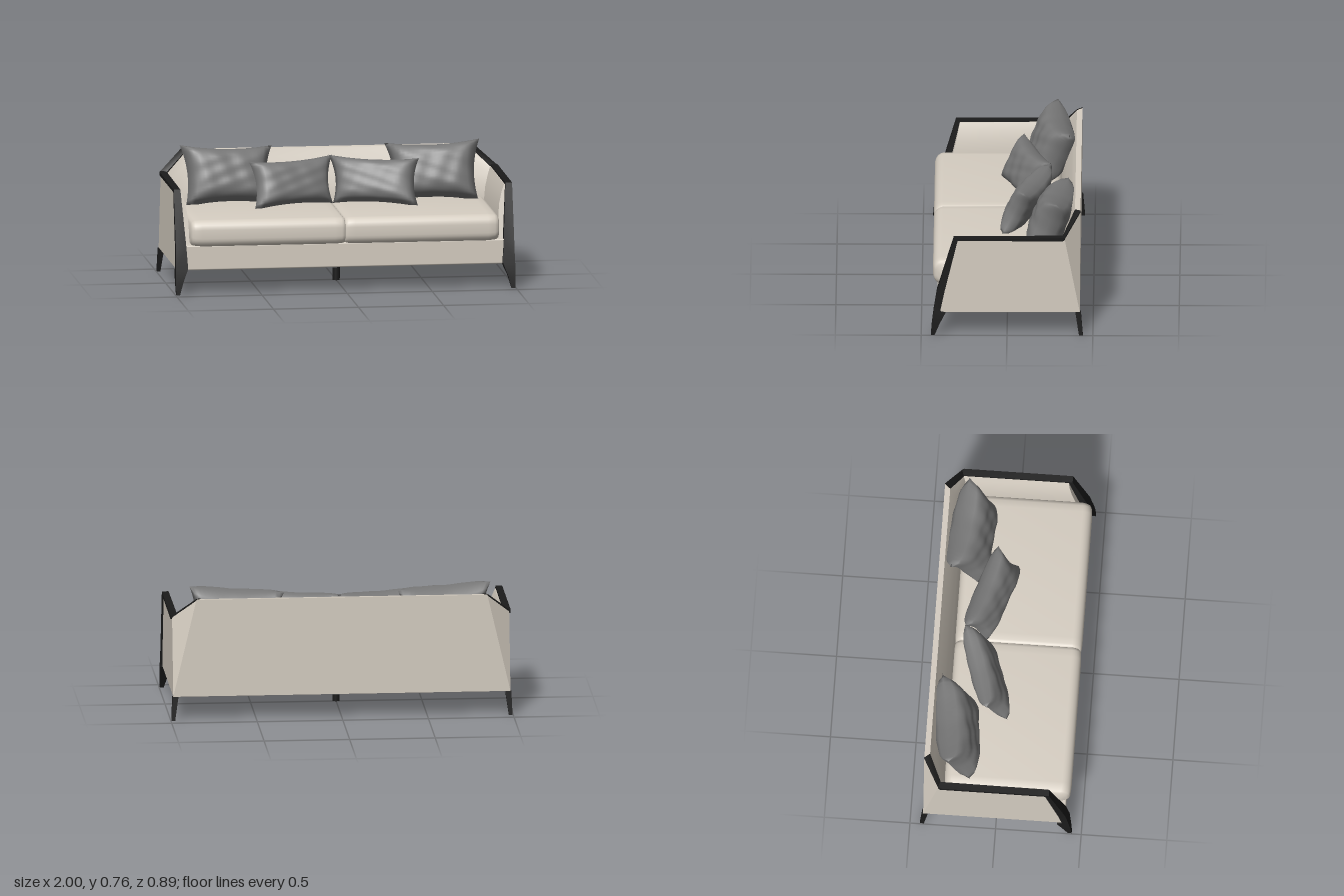
import * as THREE from 'three';
import { toCreasedNormals, mergeVertices } from 'three/addons/utils/BufferGeometryUtils.js';
import { RoundedBoxGeometry } from 'three/addons/geometries/RoundedBoxGeometry.js';

const material = (name, color, side = THREE.FrontSide) => {
  const m = new THREE.MeshStandardMaterial({ color, side });
  m.name = name;
  return m;
};

// Skins closed rings of points into a capped solid
function loft(rings, crease = 0.6) {
  const n = rings[0].length, last = (rings.length - 1) * n, index = [];
  for (let i = 0; i < rings.length - 1; i++) {
    for (let j = 0; j < n; j++) {
      const a = i * n + j, b = i * n + (j + 1) % n;
      index.push(a, a + n, b + n, a, b + n, b);
    }
  }
  for (let j = 1; j < n - 1; j++) {
    index.push(0, j, j + 1, last, last + j + 1, last + j);
  }
  const g = new THREE.BufferGeometry();
  g.setAttribute('position', new THREE.Float32BufferAttribute(rings.flat(2), 3));
  g.setIndex(index);
  return toCreasedNormals(g, crease);
}

// Ring of a frame bar: outer and inner edge (z, y), between x0 and x1
const bar = ([x0, x1, zo, yo, zi, yi]) =>
  [[x1, yo, zo], [x0, yo, zo], [x0, yi, zi], [x1, yi, zi]];

// Cushion slice at x: a rounded front and back profile, drawn in by an inset
function cushionRing([x, inset]) {
  const ring = [], r = 0.055 - inset * 0.5;
  const [z0, z1, y0, y1] = [-0.31 + inset, 0.432 - inset, 0.272 + inset, 0.432 - inset];
  const corners = [[z1 - r, y0 + r, -90], [z1 - r, y1 - r, 0], [z0 + r, y1 - r, 90], [z0 + r, y0 + r, 180]];
  for (const [z, y, start] of corners) {
    for (let k = 0; k <= 6; k++) {
      const t = THREE.MathUtils.degToRad(start + k * 15);
      ring.push([x, y + r * Math.sin(t), z + r * Math.cos(t)]);
    }
  }
  return ring;
}

// Pillow spanned between four corners, with drawn-in edges and a puffed middle
function pillowGeometry(tl, tr, bl, br, puff) {
  const [TL, TR, BL, BR] = [tl, tr, bl, br].map(p => new THREE.Vector3(...p));
  const normal = TR.clone().sub(BL).cross(TL.clone().sub(BR)).normalize();
  const N = 22, pos = [], index = [];
  for (const s of [1, -1]) {
    const start = pos.length / 3;
    for (let i = 0; i <= N; i++) {
      for (let j = 0; j <= N; j++) {
        const a = j / N * 2 - 1, b = i / N * 2 - 1;
        const u = a * (1 - 0.11 * (1 - b * b)), v = b * (1 - 0.13 * (1 - a * a));
        const low = BL.clone().lerp(BR, (u + 1) / 2);
        const p = low.lerp(TL.clone().lerp(TR, (u + 1) / 2), (v + 1) / 2);
        const body = Math.pow((1 - a ** 4) * (1 - b ** 4), 0.5);
        const fold = 1 + 0.05 * Math.sin(9 * a + 4 * b) * Math.cos(7 * b - 3 * a);
        p.addScaledVector(normal, s * puff * body * fold);
        pos.push(p.x, Math.max(p.y, 0.43), p.z);
      }
    }
    for (let i = 0; i < N; i++) {
      for (let j = 0; j < N; j++) {
        const k = start + i * (N + 1) + j, l = k + N + 1;
        if (s > 0) index.push(k, k + 1, l + 1, k, l + 1, l);
        else index.push(k, l + 1, k + 1, k, l, l + 1);
      }
    }
  }
  let g = new THREE.BufferGeometry();
  g.setAttribute('position', new THREE.Float32BufferAttribute(pos, 3));
  g.setIndex(index);
  g = mergeVertices(g, 1e-5);
  g.computeVertexNormals();
  return g;
}

export function createModel() {
  const fabric = material('beige fabric', 0xd6cec2, THREE.DoubleSide);
  const black = material('black wood', 0x1b1b1b, THREE.DoubleSide);
  const grey = material('grey pillow fabric', 0x777777, THREE.DoubleSide);
  const lining = material('dark lining', 0x6a6a6a);

  const model = new THREE.Group();
  model.name = 'sofa';
  const add = (parent, name, geometry, mat, x = 0, y = 0, z = 0) => {
    const mesh = new THREE.Mesh(geometry, mat);
    mesh.name = name;
    mesh.position.set(x, y, z);
    parent.add(mesh);
  };

  // Arms and back in one shell, with folded rear corners
  const half = [
    [[0.985, 0.14, 0.394], [0.985, 0.588, 0.288], [0.95, 0.588, 0.288], [0.935, 0.55, 0.295],
      [0.918, 0.48, 0.31], [0.91, 0.4, 0.33], [0.905, 0.2, 0.375]],
    [[0.985, 0.14, -0.424], [0.985, 0.597, -0.335], [0.95, 0.595, -0.325], [0.935, 0.55, -0.315],
      [0.918, 0.48, -0.305], [0.91, 0.4, -0.3], [0.905, 0.2, -0.3]],
    [[0.985, 0.14, -0.424], [0.85, 0.718, -0.427], [0.825, 0.715, -0.395], [0.815, 0.65, -0.37],
      [0.81, 0.55, -0.335], [0.805, 0.45, -0.31], [0.8, 0.2, -0.3]],
  ];
  const otherHalf = half.map(r => r.map(([x, y, z]) => [-x, y, z])).reverse();
  add(model, 'armsAndBack', loft([...half, ...otherHalf], 0.5), fabric);

  // Seat base and lining underneath
  add(model, 'seatBase', new RoundedBoxGeometry(1.88, 0.145, 0.81, 3, 0.008), fabric, 0, 0.212, 0);
  add(model, 'undersideLining', new THREE.BoxGeometry(1.965, 0.003, 0.815), lining, 0, 0.1385, -0.016);

  // Centre leg
  const centreLeg = new THREE.CylinderGeometry(0.024, 0.021, 0.14, 20);
  add(model, 'centreLeg', centreLeg, black, 0, 0.07, 0.012);

  // Front leg running up into the arm rail
  const frameGeometry = loft([
    [0.974, 0.996, 0.444, 0, 0.422, 0],
    [0.955, 0.998, 0.438, 0.07, 0.393, 0.07],
    [0.925, 0.997, 0.427, 0.15, 0.358, 0.139],
    [0.925, 0.996, 0.425, 0.16, 0.39, 0.145],
    [0.932, 0.994, 0.408, 0.27, 0.364, 0.27],
    [0.955, 0.994, 0.31, 0.602, 0.288, 0.585],
    [0.952, 0.994, -0.325, 0.604, -0.325, 0.584],
    [0.95, 0.988, -0.337, 0.606, -0.337, 0.59],
  ].map(bar));
  // Thin edging over the folded rear corner
  const edgingGeometry = loft([
    [[0.988, 0.604, -0.336], [0.95, 0.602, -0.324], [0.95, 0.592, -0.324], [0.988, 0.594, -0.336]],
    [[0.852, 0.723, -0.428], [0.824, 0.72, -0.395], [0.824, 0.711, -0.395], [0.852, 0.713, -0.428]],
  ]);
  const backLegGeometry = loft([
    [0.975, 0.996, -0.419, 0, -0.442, 0],
    [0.955, 0.99, -0.398, 0.14, -0.43, 0.14],
  ].map(bar));

  // Seat cushion with a soft seam at the middle and rounded outer end
  const cushionGeometry = loft([
    [0.0, 0.012], [0.006, 0.006], [0.02, 0.002], [0.06, 0], [0.84, 0],
    [0.88, 0.004], [0.896, 0.011], [0.905, 0.024],
  ].map(cushionRing), 0.9);
  const largePillow = pillowGeometry(
    [0.33, 0.74, -0.36], [0.88, 0.765, -0.285], [0.36, 0.425, -0.2], [0.86, 0.42, -0.16], 0.105);
  const smallPillow = pillowGeometry(
    [-0.01, 0.695, -0.25], [0.5, 0.69, -0.09], [0, 0.43, -0.13], [0.48, 0.425, 0.035], 0.075);

  // Everything that repeats on the left and right
  for (const [name, sign] of [['left', 1], ['right', -1]]) {
    const side = new THREE.Group();
    side.name = name + 'Side';
    side.scale.x = sign;
    model.add(side);
    add(side, name + 'FrontLegAndArmRail', frameGeometry, black);
    add(side, name + 'CornerEdging', edgingGeometry, black);
    add(side, name + 'BackLeg', backLegGeometry, black);
    add(side, name + 'SeatCushion', cushionGeometry, fabric);
    add(side, name + 'LargePillow', largePillow, grey);
    add(side, name + 'SmallPillow', smallPillow, grey);
  }
  return model;
}
